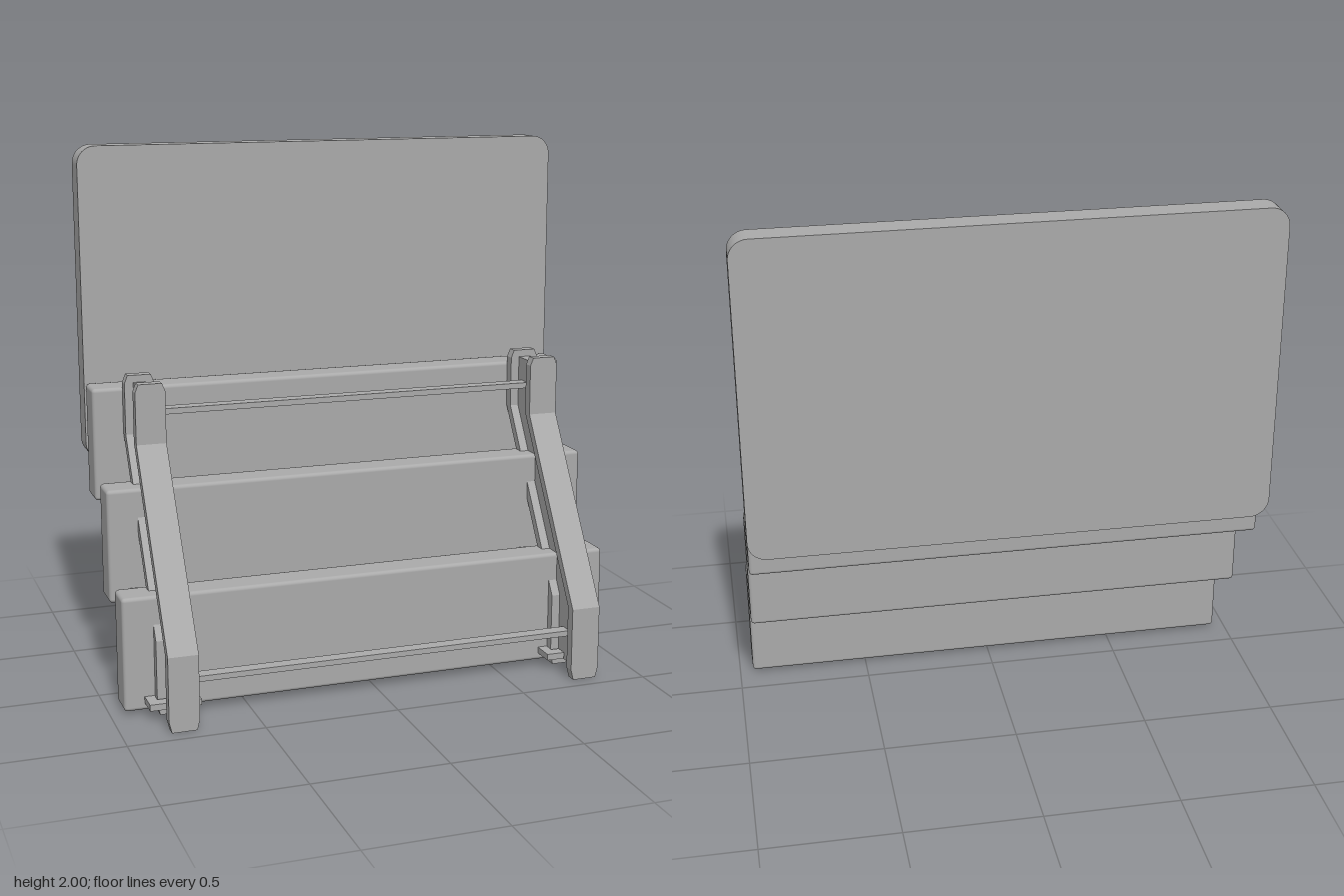
import * as THREE from 'three';
import { RoundedBoxGeometry } from 'three/addons/geometries/RoundedBoxGeometry.js';

export function createModel() {
  const model = new THREE.Group();
  model.name = 'tieredRack';
  const grey = new THREE.MeshStandardMaterial({ color: 0xaaaaaa });
  grey.name = 'grey';

  const add = (name, geometry, x = 0, y = 0, z = 0, parent = model) => {
    const mesh = new THREE.Mesh(geometry, grey);
    mesh.name = name;
    mesh.position.set(x, y, z);
    parent.add(mesh);
    return mesh;
  };
  // Box given by its extents
  const box = (name, x0, x1, y0, y1, z0, z1, parent) =>
    add(name, new THREE.BoxGeometry(x1 - x0, y1 - y0, z1 - z0),
      (x0 + x1) / 2, (y0 + y1) / 2, (z0 + z1) / 2, parent);

  // Upright back panel with rounded corners
  const w = 0.953, y0 = 0.813, y1 = 2, r = 0.07;
  const s = new THREE.Shape();
  s.moveTo(-w + r, y0);
  s.lineTo(w - r, y0);
  s.absarc(w - r, y0 + r, r, -Math.PI / 2, 0);
  s.absarc(w - r, y1 - r, r, 0, Math.PI / 2);
  s.absarc(-w + r, y1 - r, r, Math.PI / 2, Math.PI);
  s.absarc(-w + r, y0 + r, r, Math.PI, Math.PI * 1.5);
  add('backPanel', new THREE.ExtrudeGeometry(s, { depth: 0.098, bevelEnabled: false, curveSegments: 8 }), 0, 0, -0.439);

  // Three stepped boards: bottom height and front z of each
  const boards = [[0.012, 0.227], [0.355, 0.012], [0.69, -0.203]];
  for (const [y, z] of boards) {
    add('steppedBoard', new RoundedBoxGeometry(1.9, 0.427, 0.128, 3, 0.014), 0, y + 0.2135, z - 0.064);
  }

  // Flange: rectangular section swept up the bent rail, narrowing at its ends
  const stations = [
    // z of the front face, y, half width
    [0.44, 0, 0.046], [0.44, 0.04, 0.056], [0.44, 0.28, 0.056],
    [0.02, 0.947, 0.056], [0.02, 1.14, 0.056], [0.02, 1.17, 0.044],
  ];
  const flangeGeometry = (offset) => {
    const rings = stations.map(([z, y, h]) => [
      [-h, y, z + offset], [h, y, z + offset], [h, y, z + offset - 0.04], [-h, y, z + offset - 0.04],
    ]);
    const out = [];
    const quad = (a, b, c, d) => out.push(...a, ...b, ...c, ...a, ...c, ...d);
    for (let i = 0; i < rings.length - 1; i++) {
      for (let k = 0; k < 4; k++) {
        const n = (k + 1) % 4;
        quad(rings[i][k], rings[i][n], rings[i + 1][n], rings[i + 1][k]);
      }
    }
    const b = rings[0], t = rings[rings.length - 1];
    quad(b[3], b[2], b[1], b[0]);
    quad(t[0], t[1], t[2], t[3]);
    const g = new THREE.BufferGeometry();
    g.setAttribute('position', new THREE.Float32BufferAttribute(out, 3));
    g.computeVertexNormals();
    return g;
  };

  // Web between the flanges, drawn as (-z, y) and turned to face sideways
  const web = new THREE.Shape([
    [-0.41, 0.035], [-0.25, 0.035], [-0.25, 0.28], [0.17, 0.947],
    [0.17, 1.143], [-0.01, 1.143], [-0.01, 0.947], [-0.41, 0.28],
  ].map(([a, b]) => new THREE.Vector2(a, b)));
  const webGeometry = new THREE.ExtrudeGeometry(web, { depth: 0.046, bevelEnabled: false });
  webGeometry.translate(0, 0, -0.023).rotateY(Math.PI / 2);

  for (const side of [1, -1]) {
    const rail = new THREE.Group();
    rail.name = side > 0 ? 'leftRail' : 'rightRail';
    rail.position.x = side * 0.781;
    model.add(rail);
    add('frontFlange', flangeGeometry(0), 0, 0, 0, rail);
    add('rearFlange', flangeGeometry(-0.18), 0, 0, 0, rail);
    add('web', webGeometry, 0, 0, 0, rail);

    // Hooked clips holding each board to the rear flange
    for (const [y, z] of boards) {
      for (const e of [1, -1]) {
        const span = (a, b) => (e > 0 ? [a, b] : [-b, -a]);
        box('clipArm', ...span(0.058, 0.095), y + 0.028, y + 0.052, z - 0.01, z + 0.088, rail);
        box('clipHook', ...span(0.026, 0.06), y + 0.028, y + 0.052, z + 0.042, z + 0.088, rail);
      }
    }
  }

  // Flat cross bars joining the rails
  box('lowerCrossBar', -0.765, 0.765, 0.143, 0.164, 0.297, 0.35);
  box('upperCrossBar', -0.765, 0.765, 1.032, 1.054, -0.13, -0.076);

  return model;
}
